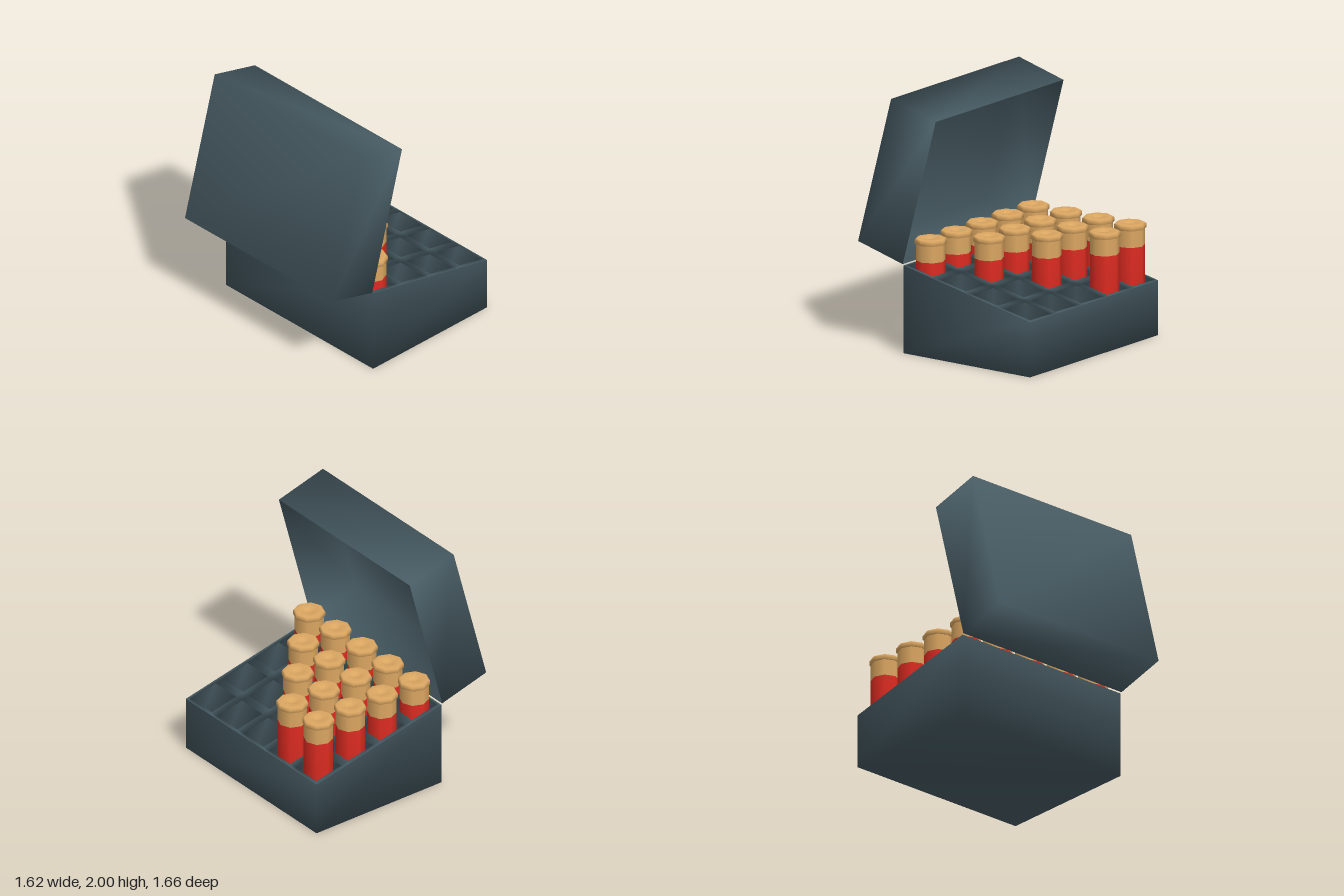
import * as THREE from 'three';
import { mergeVertices } from 'three/addons/utils/BufferGeometryUtils.js';

const W = 1.62, BACK = -0.83, HINGE = 0.39;
const topY = z => 0.437 + (z - BACK) / (HINGE - BACK) * (0.697 - 0.437);

// weld corners so the shading rolls softly over the edges
function soften(geo) {
  geo.deleteAttribute('normal');
  geo.deleteAttribute('uv');
  geo.clearGroups();
  const out = mergeVertices(geo, 1e-4);
  out.computeVertexNormals();
  return out;
}

// box with one of its six faces left out (0..5 = +x -x +y -y +z -z)
function openBox(w, h, d, face) {
  const geo = new THREE.BoxGeometry(w, h, d);
  geo.setIndex(Array.from(geo.index.array).filter((_, i) => Math.floor(i / 6) !== face));
  return geo;
}

// sloped tray top with a grid of square pockets
function trayGeometry(cols, rows, halfX, halfZ, floorY) {
  const xs = [-W / 2, ...cols.flatMap(c => [c - halfX, c + halfX]), W / 2];
  const zs = [BACK, ...rows.flatMap(r => [r - halfZ, r + halfZ]), HINGE];
  const pos = [];
  const quad = (a, b, c, d) => pos.push(...a, ...b, ...c, ...a, ...c, ...d);
  for (let i = 0; i < xs.length - 1; i++) {
    for (let j = 0; j < zs.length - 1; j++) {
      const [x0, x1, z0, z1] = [xs[i], xs[i + 1], zs[j], zs[j + 1]];
      const top = [[x0, topY(z0), z0], [x0, topY(z1), z1], [x1, topY(z1), z1], [x1, topY(z0), z0]];
      if (i % 2 === 0 || j % 2 === 0) { quad(...top); continue; }
      const low = top.map(p => [p[0], floorY, p[2]]);
      quad(...low);
      for (let k = 0; k < 4; k++) {
        const n = (k + 1) % 4;
        quad(top[k], low[k], low[n], top[n]);
      }
    }
  }
  const geo = new THREE.BufferGeometry();
  geo.setAttribute('position', new THREE.Float32BufferAttribute(pos, 3));
  return soften(geo);
}

function lathe(points) {
  return new THREE.LatheGeometry(points.map(p => new THREE.Vector2(...p)), 8);
}

export function createModel() {
  const model = new THREE.Group();
  model.name = 'cartridgeBox';

  const slate = new THREE.MeshStandardMaterial({ name: 'slate', color: 0x475b63, side: THREE.DoubleSide });
  const red = new THREE.MeshStandardMaterial({ name: 'red', color: 0xe02c22 });
  const brass = new THREE.MeshStandardMaterial({ name: 'brass', color: 0xdca762 });

  const add = (parent, name, geo, mat) => {
    const mesh = new THREE.Mesh(geo, mat);
    mesh.name = name;
    parent.add(mesh);
    return mesh;
  };

  // base: open box whose upper rim slopes down towards the back
  const baseGeo = openBox(W, 0.7, HINGE - BACK, 2);
  baseGeo.translate(0, 0.35, (HINGE + BACK) / 2);
  const p = baseGeo.attributes.position;
  for (let i = 0; i < p.count; i++) if (p.getY(i) > 0.1) p.setY(i, topY(p.getZ(i)));
  add(model, 'base', soften(baseGeo), slate);

  // pocketed tray
  const cols = [-0.65, -0.325, 0, 0.325, 0.65];
  const rows = [-0.685, -0.375, -0.065, 0.25];
  add(model, 'tray', trayGeometry(cols, rows, 0.127, 0.12, 0.04), slate);

  // hollow lid, tipped open
  const lid = add(model, 'lid', soften(openBox(W, 1.22, 0.446, 5)), slate);
  lid.position.set(0, 1.352, 0.455);
  lid.rotation.x = -0.264;

  // cartridges: each row holds one more than the row behind it
  const caseGeo = lathe([[0, 0.045], [0.114, 0.045], [0.114, 0.73]]);
  const capGeo = lathe([[0.114, 0.73], [0.114, 0.862]]);
  const rimGeo = lathe([[0.112, 0.862], [0.125, 0.864], [0.125, 0.895], [0.112, 0.906],
    [0.045, 0.906], [0.038, 0.888], [0, 0.888]]);
  rows.forEach((z, r) => {
    for (let c = 0; c < r + 2; c++) {
      const cartridge = new THREE.Group();
      cartridge.name = 'cartridge';
      add(cartridge, 'casing', caseGeo, red);
      add(cartridge, 'cap', capGeo, brass);
      add(cartridge, 'rim', rimGeo, brass);
      cartridge.position.set(cols[c], 0, z);
      model.add(cartridge);
    }
  });

  return model;
}
